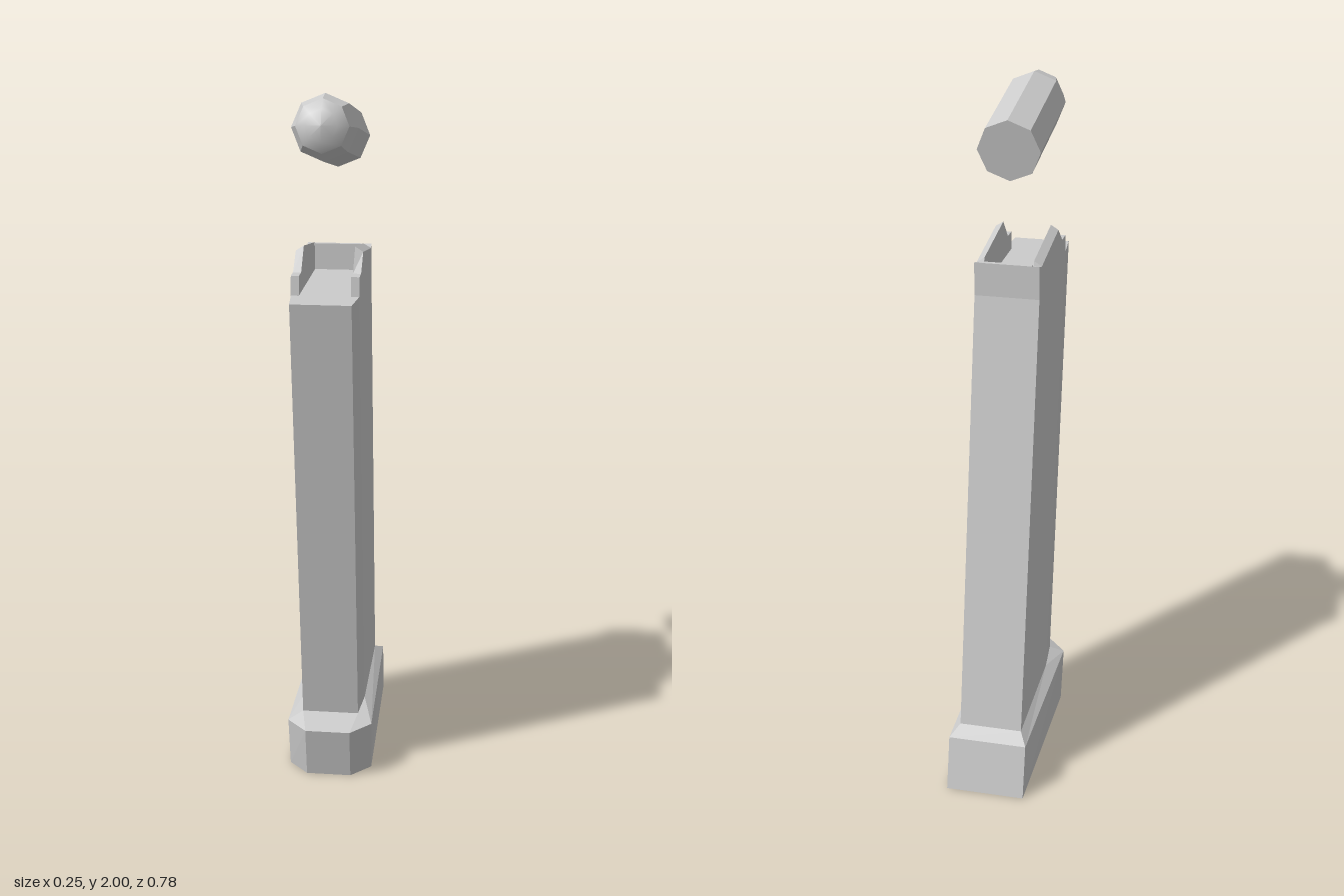
import * as THREE from 'three';

const flat = new THREE.MeshStandardMaterial({ color: 0xcccccc, flatShading: true });
const smooth = new THREE.MeshStandardMaterial({ color: 0xcccccc });

function part(name, geometry, material = flat) {
  const mesh = new THREE.Mesh(geometry, material);
  mesh.name = name;
  return mesh;
}

// Six-sided section: front half width and z, shoulder half width and z, back half width and z
function section(y, f, zf, w, zs, b, zb) {
  return [[f, y, zf], [w, y, zs], [b, y, zb], [-b, y, zb], [-w, y, zs], [-f, y, zf]];
}

// Skin stacked sections, from the bottom up, with optional end caps
function loft(rings, capBottom, capTop) {
  const pos = [];
  const n = rings[0].length;
  const tri = (...corners) => corners.forEach((c) => pos.push(...c));
  for (let r = 0; r < rings.length - 1; r++) {
    for (let i = 0; i < n; i++) {
      const j = (i + 1) % n;
      const lo = rings[r], hi = rings[r + 1];
      tri(lo[i], lo[j], hi[j]);
      tri(lo[i], hi[j], hi[i]);
    }
  }
  const bottom = rings[0], top = rings[rings.length - 1];
  for (let i = 1; i < n - 1; i++) {
    if (capBottom) tri(bottom[0], bottom[i + 1], bottom[i]);
    if (capTop) tri(top[0], top[i], top[i + 1]);
  }
  const g = new THREE.BufferGeometry();
  g.setAttribute('position', new THREE.Float32BufferAttribute(pos, 3));
  g.computeVertexNormals();
  return g;
}

// Stepped side wall with its outer top edge bevelled
function feedLip(side) {
  const profile = [
    [-0.085, 1.465], [0.285, 1.465], [0.28, 1.523], [0.235, 1.523], [0.175, 1.585],
    [-0.055, 1.551], [-0.06, 1.538], [-0.085, 1.545],
  ];
  const shape = new THREE.Shape(profile.map(([z, y]) => new THREE.Vector2(z, y)));
  const g = new THREE.ExtrudeGeometry(shape, { depth: 0.022, bevelEnabled: false });
  g.rotateY(-Math.PI / 2).translate(side > 0 ? 0.092 : -0.07, 0, 0);
  const p = g.attributes.position;
  for (let i = 0; i < p.count; i++) {
    const outer = Math.abs(p.getX(i)) > 0.08;
    if (outer && p.getY(i) > 1.549) p.setY(i, p.getY(i) - 0.014);
  }
  g.computeVertexNormals();
  return g;
}

function createCartridge() {
  const cartridge = new THREE.Group();
  cartridge.name = 'cartridge';
  const turned = (pts) => new THREE.LatheGeometry(pts.map(([r, y]) => new THREE.Vector2(r, y)), 8);
  // Faceted case with a flat rear
  cartridge.add(part('cartridgeCase', turned([[0, 0], [0.088, 0], [0.088, 0.345]])));
  // Tapered bullet and rounded nose
  cartridge.add(part('bulletTaper', turned([[0.088, 0.345], [0.07, 0.402]])));
  cartridge.add(part('bulletNose', turned([[0.07, 0.402], [0.042, 0.426], [0, 0.434]]), smooth));
  cartridge.position.set(0, 1.855, -0.06);
  cartridge.rotation.x = THREE.MathUtils.degToRad(80);
  return cartridge;
}

export function createModel() {
  const model = new THREE.Group();
  model.name = 'magazineWithCartridge';

  // Flared base with chamfered front corners
  model.add(part('basePlate', loft([
    section(0, 0.065, 0.215, 0.122, 0.155, 0.115, -0.39),
    section(0.158, 0.065, 0.25, 0.124, 0.185, 0.115, -0.355),
    section(0.18, 0.082, 0.165, 0.092, 0.055, 0.092, -0.31),
  ], true, false)));

  // Slanted body; its top face is the ledge and follower
  model.add(part('body', loft([
    section(0.18, 0.082, 0.165, 0.092, 0.055, 0.092, -0.31),
    section(1.45, 0.082, 0.3865, 0.092, 0.2765, 0.092, -0.085),
    section(1.47, 0.082, 0.39, 0.092, 0.28, 0.092, -0.085),
  ], false, true)));

  // Side lips and rear wall around the opening
  model.add(part('leftFeedLip', feedLip(1)));
  model.add(part('rightFeedLip', feedLip(-1)));
  const rear = new THREE.BoxGeometry(0.14, 0.08, 0.014);
  rear.translate(0, 1.505, -0.078);
  model.add(part('rearWall', rear));

  model.add(createCartridge());
  return model;
}
